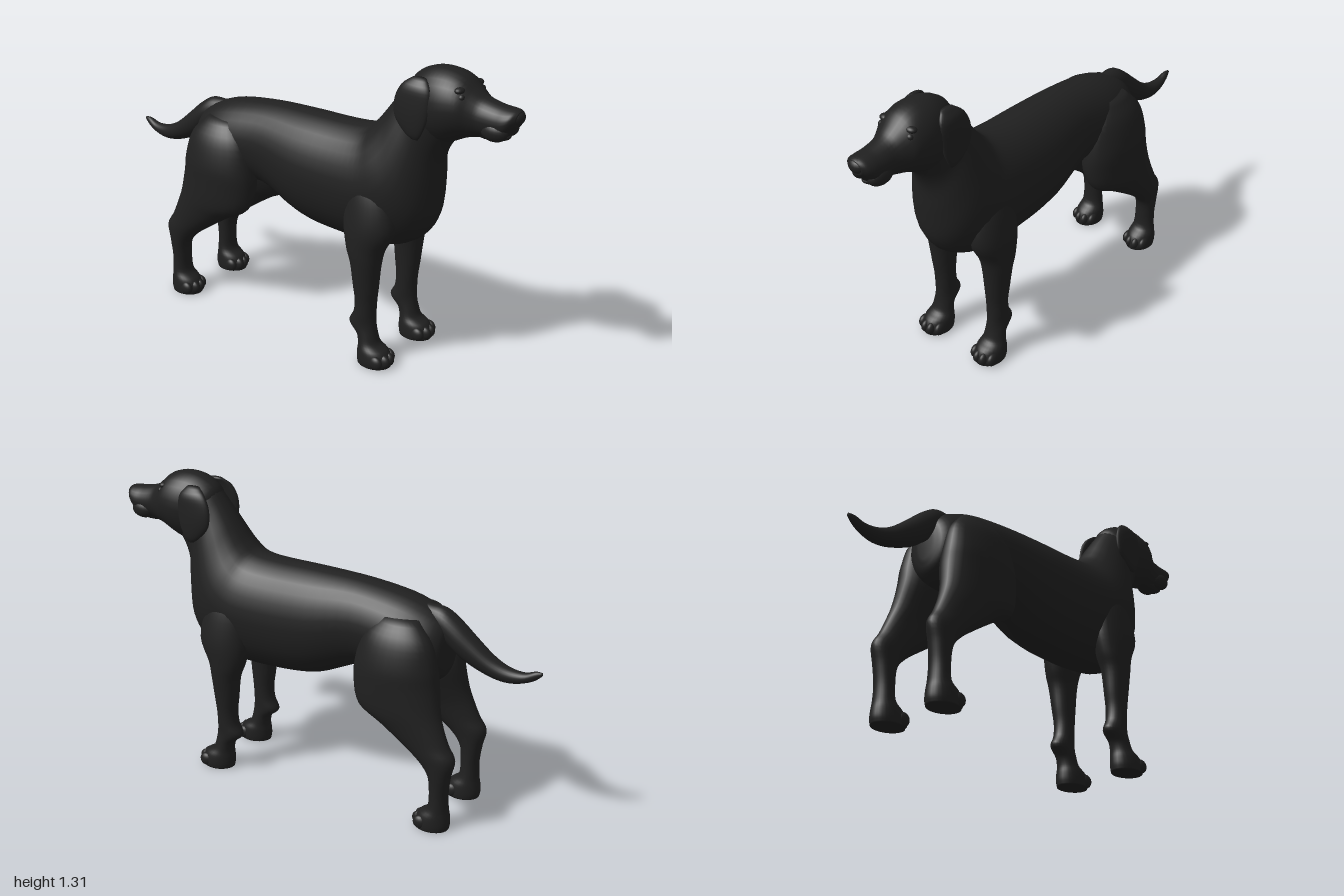
import * as THREE from 'three';

const coat = new THREE.MeshStandardMaterial({ color: 0x202020 });
coat.name = 'black coat';

// Smooth skin over oval rings: [zA, yA, zB, yB, halfWidth, xCentre].
// A and B are the two opposite edges of a ring in the side outline.
function loft(name, rings, side = 1, sub = 4, n = 28) {
  const a = new THREE.CatmullRomCurve3(
    rings.map(r => new THREE.Vector3((r[5] || 0) * side, r[1], r[0])), false, 'catmullrom', 0.5);
  const b = new THREE.CatmullRomCurve3(
    rings.map(r => new THREE.Vector3(r[4], r[3], r[2])), false, 'catmullrom', 0.5);
  const steps = (rings.length - 1) * sub;
  const pos = [], idx = [], mids = [];
  for (let i = 0; i <= steps; i++) {
    const p = a.getPoint(i / steps), q = b.getPoint(i / steps);
    const cy = (p.y + q.y) / 2, cz = (p.z + q.z) / 2;
    mids.push([p.x, cy, cz]);
    for (let j = 0; j < n; j++) {
      const t = (j / n) * Math.PI * 2, s = Math.sin(t);
      pos.push(p.x + q.x * Math.cos(t), cy + (p.y - cy) * s, cz + (p.z - cz) * s);
    }
  }
  for (let i = 0; i < steps; i++) {
    for (let j = 0; j < n; j++) {
      const k = (j + 1) % n, u = i * n, v = u + n;
      idx.push(u + j, u + k, v + j, u + k, v + k, v + j);
    }
  }
  // End caps
  const c0 = pos.length / 3, c1 = c0 + 1, last = steps * n;
  pos.push(...mids[0], ...mids[steps]);
  for (let j = 0; j < n; j++) {
    const k = (j + 1) % n;
    idx.push(c0, k, j, c1, last + j, last + k);
  }
  const g = new THREE.BufferGeometry();
  g.setAttribute('position', new THREE.Float32BufferAttribute(pos, 3));
  g.setIndex(idx);
  g.computeVertexNormals();
  const m = new THREE.Mesh(g, coat);
  m.name = name;
  return m;
}

function ball(name, x, y, z, rx, ry, rz) {
  const m = new THREE.Mesh(new THREE.SphereGeometry(1, 20, 14), coat);
  m.position.set(x, y, z);
  m.scale.set(rx, ry, rz);
  m.name = name;
  return m;
}

// Body and neck, rump to skull
const BODY = [
  [-0.602, 0.82, -0.602, 0.68, 0.04], [-0.585, 0.865, -0.585, 0.62, 0.10],
  [-0.52, 0.91, -0.52, 0.585, 0.14], [-0.40, 0.95, -0.40, 0.58, 0.16],
  [-0.20, 0.977, -0.22, 0.60, 0.155], [0, 0.985, 0, 0.51, 0.178],
  [0.20, 0.988, 0.20, 0.487, 0.185], [0.31, 1.0, 0.42, 0.495, 0.19],
  [0.36, 1.035, 0.55, 0.545, 0.185], [0.40, 1.085, 0.625, 0.64, 0.165],
  [0.44, 1.14, 0.645, 0.78, 0.14], [0.49, 1.205, 0.65, 0.90, 0.115],
  [0.54, 1.26, 0.68, 0.98, 0.105], [0.60, 1.285, 0.72, 1.03, 0.10],
];

// Skull and muzzle, back to front
const HEAD = [
  [0.50, 1.20, 0.56, 1.04, 0.05], [0.53, 1.26, 0.60, 1.00, 0.095],
  [0.60, 1.30, 0.66, 1.00, 0.116], [0.68, 1.308, 0.71, 1.015, 0.122],
  [0.75, 1.29, 0.77, 1.045, 0.11], [0.80, 1.25, 0.80, 1.053, 0.088],
  [0.84, 1.222, 0.84, 1.062, 0.072], [0.90, 1.207, 0.90, 1.07, 0.067],
  [0.94, 1.203, 0.94, 1.085, 0.066], [0.97, 1.20, 0.965, 1.115, 0.056],
  [0.988, 1.193, 0.983, 1.135, 0.035],
];

// Tail, tip to root
const TAIL = [
  [-0.998, 0.727, -0.998, 0.713, 0.006], [-0.97, 0.727, -0.965, 0.685, 0.016],
  [-0.92, 0.711, -0.915, 0.664, 0.025], [-0.85, 0.72, -0.86, 0.654, 0.034],
  [-0.78, 0.755, -0.80, 0.66, 0.043], [-0.70, 0.82, -0.73, 0.682, 0.051],
  [-0.63, 0.88, -0.66, 0.715, 0.057], [-0.57, 0.917, -0.60, 0.76, 0.056],
  [-0.51, 0.922, -0.54, 0.80, 0.045], [-0.45, 0.92, -0.48, 0.85, 0.02],
];

// Hind leg, hip to sole
const HIND = [
  [-0.34, 0.88, -0.50, 0.88, 0.04, 0.10], [-0.27, 0.80, -0.57, 0.80, 0.075, 0.12],
  [-0.235, 0.68, -0.60, 0.70, 0.10, 0.125], [-0.23, 0.58, -0.612, 0.62, 0.104, 0.125],
  [-0.26, 0.49, -0.628, 0.52, 0.088, 0.14], [-0.36, 0.432, -0.65, 0.45, 0.07, 0.15],
  [-0.47, 0.36, -0.68, 0.38, 0.058, 0.155], [-0.55, 0.30, -0.71, 0.325, 0.053, 0.158],
  [-0.595, 0.245, -0.695, 0.25, 0.049, 0.158], [-0.605, 0.17, -0.685, 0.17, 0.046, 0.156],
  [-0.60, 0.10, -0.687, 0.10, 0.05, 0.155], [-0.56, 0.065, -0.694, 0.06, 0.059, 0.155],
  [-0.543, 0.025, -0.697, 0.025, 0.062, 0.155], [-0.545, 0, -0.692, 0, 0.06, 0.155],
];

// Front leg, shoulder to sole
const FORE = [
  [0.42, 0.86, 0.34, 0.86, 0.03, 0.12], [0.50, 0.75, 0.30, 0.75, 0.058, 0.135],
  [0.53, 0.62, 0.29, 0.62, 0.075, 0.143], [0.485, 0.52, 0.31, 0.52, 0.07, 0.15],
  [0.47, 0.45, 0.335, 0.45, 0.061, 0.154], [0.46, 0.35, 0.347, 0.35, 0.051, 0.152],
  [0.452, 0.28, 0.356, 0.28, 0.046, 0.15], [0.45, 0.22, 0.35, 0.22, 0.045, 0.15],
  [0.453, 0.175, 0.328, 0.17, 0.045, 0.15], [0.46, 0.13, 0.368, 0.13, 0.045, 0.151],
  [0.475, 0.09, 0.38, 0.09, 0.05, 0.152], [0.515, 0.065, 0.377, 0.055, 0.06, 0.153],
  [0.533, 0.025, 0.376, 0.025, 0.063, 0.154], [0.53, 0, 0.38, 0, 0.06, 0.154],
];

// Drop ear, root to tip
const EAR = [
  [0.62, 1.268, 0.56, 1.268, 0.012, 0.085], [0.65, 1.23, 0.52, 1.235, 0.021, 0.104],
  [0.656, 1.17, 0.495, 1.175, 0.021, 0.112], [0.645, 1.10, 0.50, 1.105, 0.019, 0.116],
  [0.625, 1.05, 0.545, 1.05, 0.014, 0.117], [0.61, 1.026, 0.58, 1.026, 0.006, 0.115],
];

export function createModel() {
  const dog = new THREE.Group();
  dog.name = 'dog';
  dog.add(loft('body', BODY), loft('head', HEAD), loft('tail', TAIL));

  // Nose and lower jaw
  dog.add(ball('nose', 0, 1.168, 0.966, 0.042, 0.032, 0.034));
  dog.add(ball('lowerJaw', 0, 1.085, 0.865, 0.043, 0.028, 0.085));

  for (const side of [1, -1]) {
    const tag = side > 0 ? 'left' : 'right';
    dog.add(loft(tag + 'HindLeg', HIND, side), loft(tag + 'FrontLeg', FORE, side));
    dog.add(loft(tag + 'Ear', EAR, side));
    dog.add(ball(tag + 'Lip', side * 0.04, 1.108, 0.90, 0.034, 0.04, 0.058));
    dog.add(ball(tag + 'Eye', side * 0.073, 1.222, 0.772, 0.016, 0.014, 0.014));
    dog.add(ball(tag + 'Brow', side * 0.066, 1.246, 0.758, 0.026, 0.014, 0.02));

    // Four toes on each paw
    for (const [paw, z] of [['Front', 0.512], ['Hind', -0.566]]) {
      for (let i = 0; i < 4; i++) {
        const o = (i - 1.5) * 0.031;
        const outer = Math.abs(i - 1.5) > 1;
        dog.add(ball(tag + paw + 'Toe', side * 0.154 + o, 0.03, z - (outer ? 0.018 : 0),
          0.019, 0.03, 0.031));
      }
    }
  }
  return dog;
}
